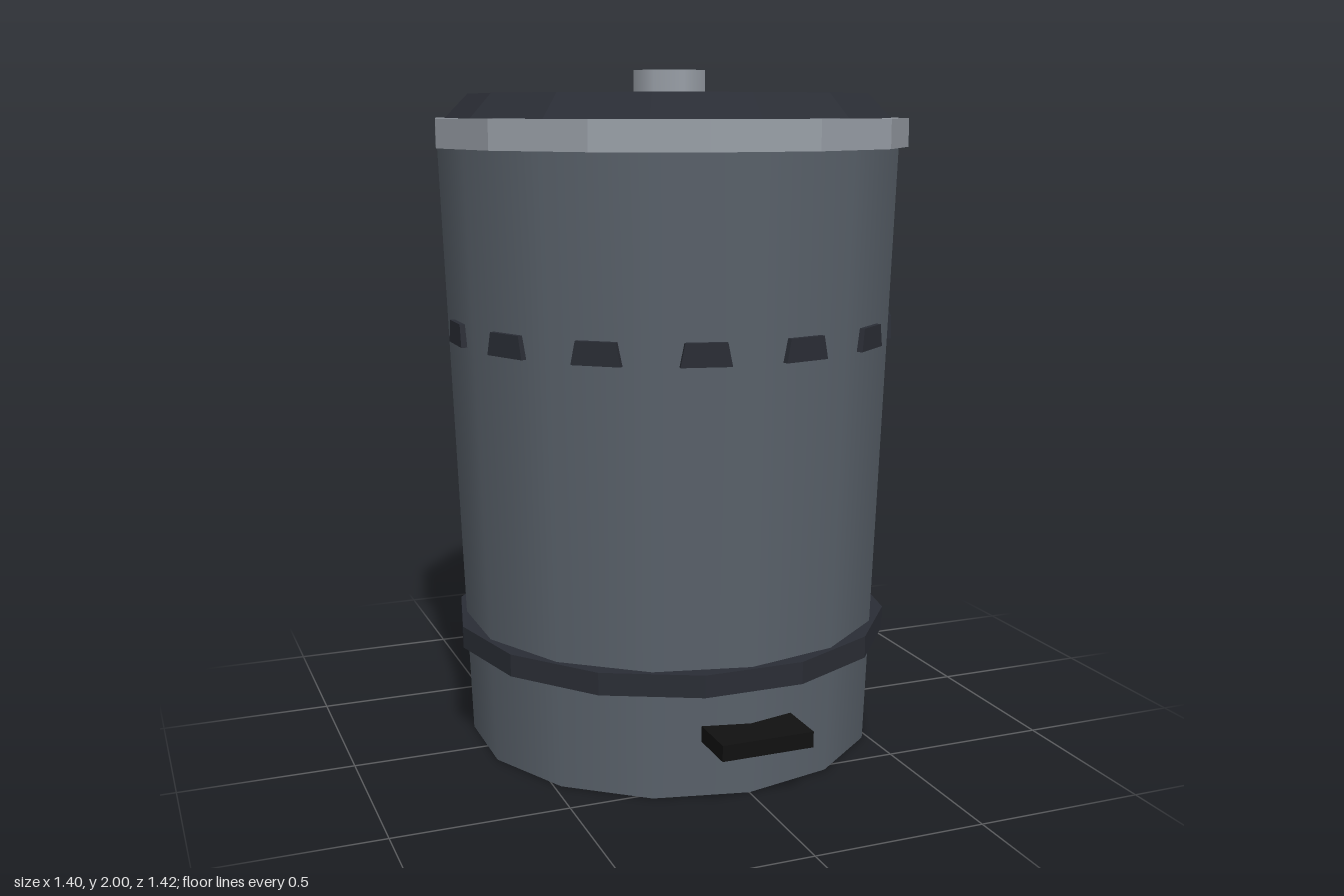
import * as THREE from 'three';

const SIDES = 14;

export function createModel() {
  const model = new THREE.Group();
  model.name = 'pedalBin';
  const can = new THREE.Group(); // everything round shares one axis, set back from the pedal
  can.name = 'can';
  can.position.z = -0.027;
  model.add(can);

  const mat = (color, flatShading = false) => {
    const m = new THREE.MeshStandardMaterial({ color });
    m.flatShading = flatShading;
    return m;
  };
  const slate = mat(0x5a626b);
  const dark = mat(0x2a2d35, true);
  const steel = mat(0x9aa0a8, true);
  const black = mat(0x111111, true);

  const add = (parent, name, geometry, material) => {
    const mesh = new THREE.Mesh(geometry, material);
    mesh.name = name;
    parent.add(mesh);
    return mesh;
  };
  // Round part between two heights; turn rotates its facets
  const drum = (name, rTop, rBottom, y0, y1, material, sides = SIDES, turn = 0) => {
    const g = new THREE.CylinderGeometry(rTop, rBottom, y1 - y0, sides);
    g.rotateY(turn).translate(0, (y0 + y1) / 2, 0);
    return add(can, name, g, material);
  };

  drum('body', 0.682, 0.615, 0, 1.82, slate);
  drum('lowerBand', 0.66, 0.66, 0.31, 0.375, dark, SIDES, Math.PI / 2);
  drum('rim', 0.702, 0.702, 1.78, 1.863, steel, SIDES, Math.PI / 2);
  drum('lid', 0.59, 0.66, 1.86, 1.932, dark);
  drum('knob', 0.1125, 0.1125, 1.93, 2, mat(0x9aa0a8), 8);

  // Ring of tapered vents, one on each face of the body
  const outline = new THREE.Shape([
    new THREE.Vector2(-0.07, 1.223), new THREE.Vector2(0.07, 1.223),
    new THREE.Vector2(0.057, 1.288), new THREE.Vector2(-0.057, 1.288),
  ]);
  const ventGeometry = new THREE.ExtrudeGeometry(outline, { depth: 0.04, bevelEnabled: false });
  ventGeometry.translate(0, 0, 0.621);
  const vents = new THREE.Group();
  vents.name = 'vents';
  can.add(vents);
  for (let i = 0; i < SIDES; i++) {
    add(vents, 'vent', ventGeometry, dark).rotation.y = ((i + 0.5) / SIDES) * Math.PI * 2;
  }

  // Foot pedal
  const pedal = add(model, 'pedal', new THREE.BoxGeometry(0.272, 0.046, 0.16), black);
  pedal.position.set(0, 0.185, 0.632);

  return model;
}
